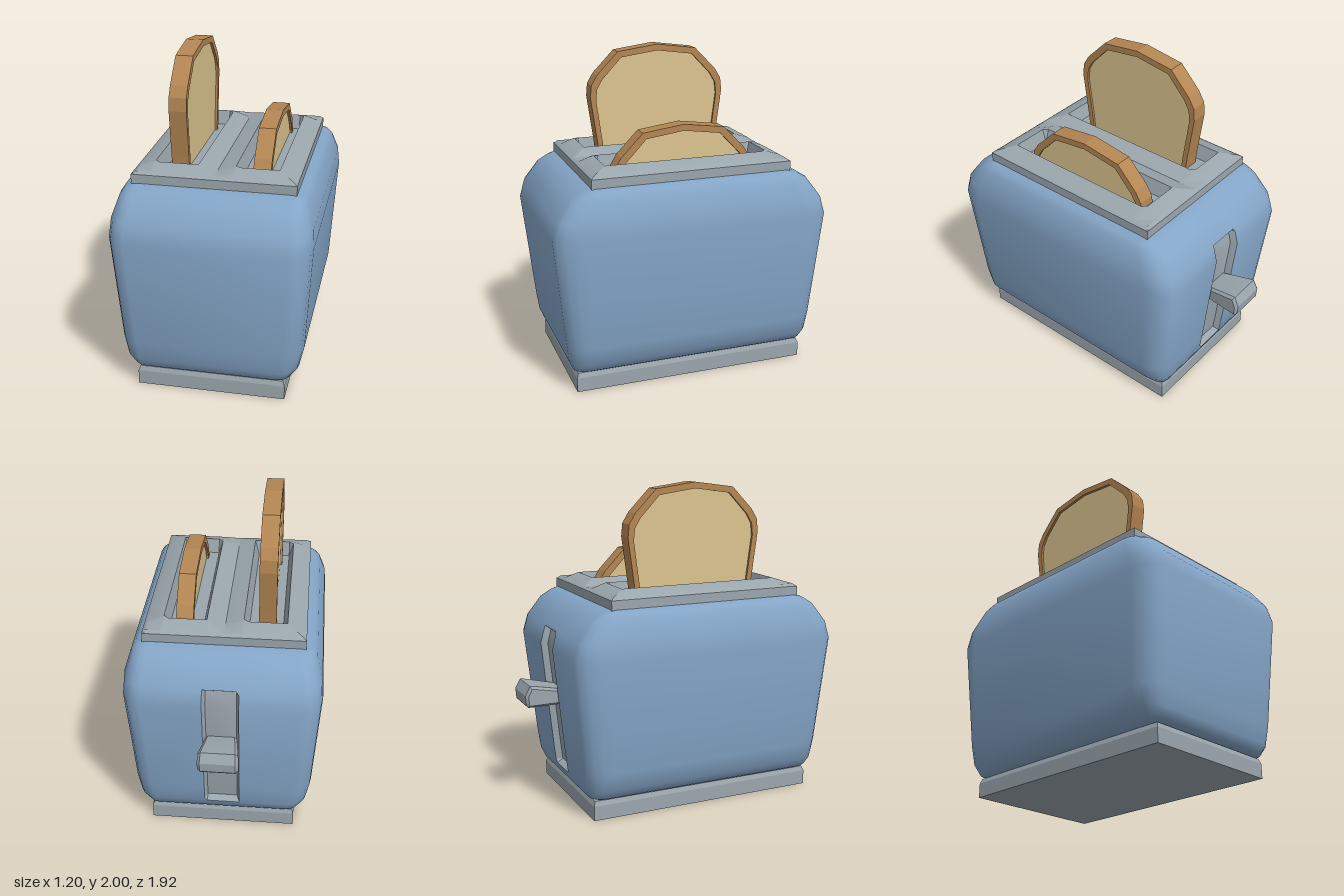
import * as THREE from 'three';
import { toCreasedNormals } from 'three/addons/utils/BufferGeometryUtils.js';

const CZ = 0.09; // z centre of the housing

function material(name, color) {
  const m = new THREE.MeshStandardMaterial({ color });
  m.name = name;
  return m;
}

// Surface through a grid of points; skip(i, j) leaves a quad open
function grid(nu, nv, point, crease, skip = () => false) {
  const pos = [], index = [];
  for (let i = 0; i < nu; i++) for (let j = 0; j < nv; j++) pos.push(...point(i, j));
  for (let i = 0; i < nu - 1; i++) for (let j = 0; j < nv - 1; j++) {
    if (skip(i, j)) continue;
    const a = i * nv + j, b = a + nv;
    index.push(a, b, b + 1, a, b + 1, a + 1);
  }
  const g = new THREE.BufferGeometry();
  g.setAttribute('position', new THREE.Float32BufferAttribute(pos, 3));
  g.setIndex(index);
  return toCreasedNormals(g, crease);
}

// Housing: rounded rectangles stacked by [y, half x, half z, corner x, corner z]
function bodyGeometry() {
  const levels = [
    [0.12, 0.3, 0.6, 0.02, 0.02], [0.12, 0.445, 0.715, 0.05, 0.05], [0.14, 0.48, 0.76, 0.07, 0.08],
    [0.2, 0.53, 0.785, 0.1, 0.12], [0.32, 0.557, 0.8, 0.11, 0.15], [1.0, 0.6, 0.87, 0.12, 0.17],
    [1.11, 0.592, 0.84, 0.12, 0.17], [1.23, 0.555, 0.75, 0.1, 0.14], [1.27, 0.53, 0.685, 0.08, 0.1],
    [1.29, 0.485, 0.63, 0.03, 0.03], [1.29, 0.3, 0.5, 0.02, 0.02],
  ];
  const loop = ([y, hx, hz, rx, rz]) => {
    const pts = [];
    [[1, 1], [1, -1], [-1, -1], [-1, 1]].forEach(([sx, sz], q) => {
      for (let k = 0; k <= 4; k++) {
        const a = (q + k / 4) * Math.PI / 2;
        pts.push([sx * (hx - rx) + rx * Math.sin(a), y, CZ + sz * (hz - rz) + rz * Math.cos(a)]);
      }
      if (q === 1) pts.push([0.11, y, CZ - hz], [-0.11, y, CZ - hz]);
    });
    pts.push(pts[0]);
    return pts;
  };
  const loops = levels.map(loop);
  // the back opening for the lever track stays open
  return grid(loops[0].length, levels.length, (i, j) => loops[j][i], 0.9,
    (i, j) => i === 10 && j >= 3 && j <= 5);
}

// Recessed lever track following the back of the housing
function trackGeometry() {
  const rows = [[0.2, 0.785], [0.225, 0.788], [0.32, 0.8], [1.0, 0.87], [1.085, 0.847], [1.11, 0.84]];
  const xs = [-0.11, -0.093, 0.093, 0.11];
  return grid(rows.length, xs.length, (i, j) => {
    const inner = i > 0 && i < rows.length - 1 && j > 0 && j < 3;
    return [xs[j], rows[i][0], CZ - rows[i][1] + (inner ? 0.04 : 0)];
  }, 0.4);
}

// Top plate with two raised slot rims and sunken slot floors
function plateGeometry() {
  const half = [0.487, 0.487, 0.465, 0.37, 0.342, 0.138, 0.11];
  const xs = [...half.map(x => -x), 0, ...[...half].reverse()];
  const zs = [0.63, 0.63, 0.61, 0.517, 0.49].map(z => -z);
  zs.push(...[...zs].reverse().map(z => -z));
  const nx = xs.length, nz = zs.length;
  return grid(nz, nx, (i, j) => {
    const e = Math.min(i, nz - 1 - i), f = Math.min(j, nx - 1 - j);
    let y = [1.285, 1.345, 1.36, 1.39][Math.min(e, f, 3)];
    if (e === 4 && (f === 4 || f === 5)) y = 1.3;
    if (f === 7) y = Math.min(y, 1.355);
    return [xs[j], y, CZ + zs[i]];
  }, 0.35);
}

// Base block with a chamfered upper edge
function baseGeometry() {
  const g = new THREE.BoxGeometry(0.91, 0.12, 1.49, 1, 4, 1);
  const p = g.attributes.position;
  for (let i = 0; i < p.count; i++) {
    if (p.getY(i) > 0.05) p.setXYZ(i, p.getX(i) * 0.975, p.getY(i), p.getZ(i) * 0.985);
  }
  g.translate(0, 0.06, CZ);
  return toCreasedNormals(g, 0.3);
}

// Half outline of a slice, mirrored
function sliceOutline(sx, sy) {
  const half = [[0.385, 1.2], [0.405, 1.39], [0.445, 1.68], [0.437, 1.76], [0.397, 1.825], [0.26, 1.965]];
  const pts = [...half, [0, 2], ...[...half].reverse().map(([x, y]) => [-x, y])];
  return pts.map(([x, y]) => new THREE.Vector2(x * sx, 1.3 + (y - 1.3) * sy));
}

function extrudeAcross(shape, depth, options = {}) {
  const g = new THREE.ExtrudeGeometry(shape, { depth, bevelEnabled: false, ...options });
  return g.translate(0, 0, -depth / 2).rotateY(Math.PI / 2);
}

// Lever knob, widening towards its free end
function leverGeometry() {
  const side = [[0.7, 0.645], [0.94, 0.652], [0.951, 0.665], [0.956, 0.727], [0.925, 0.785], [0.905, 0.784], [0.7, 0.738]];
  const g = extrudeAcross(new THREE.Shape(side.map(p => new THREE.Vector2(...p))), 0.17, {
    bevelEnabled: true, bevelThickness: 0.015, bevelSize: 0.015, bevelOffset: -0.015, bevelSegments: 1,
  });
  const p = g.attributes.position;
  for (let i = 0; i < p.count; i++) p.setX(i, p.getX(i) * (1 + (-p.getZ(i) - 0.75) * 1.2));
  return toCreasedNormals(g, 0.5);
}

export function createModel() {
  const blue = material('blue enamel', 0x84a5c7);
  const grey = material('grey metal', 0x9aa6ad);
  const crustMat = material('brown crust', 0xb48653);
  const crumbMat = material('pale crumb', 0xdcc48f);

  const model = new THREE.Group();
  model.name = 'toaster';
  const add = (name, geometry, mat, parent = model) => {
    const mesh = new THREE.Mesh(geometry, mat);
    mesh.name = name;
    parent.add(mesh);
    return mesh;
  };

  add('base', baseGeometry(), grey);
  add('body', bodyGeometry(), blue);
  add('topPlate', plateGeometry(), grey);
  add('leverTrack', trackGeometry(), grey);
  add('lever', leverGeometry(), grey);

  // Bread: one slice popped up, one lowered
  const crustShape = new THREE.Shape(sliceOutline(1, 1));
  crustShape.holes.push(new THREE.Path(sliceOutline(0.915, 0.943)));
  const crust = extrudeAcross(crustShape, 0.106);
  const crumb = extrudeAcross(new THREE.Shape(sliceOutline(0.915, 0.943)), 0.076);
  for (const [name, x, y] of [['raisedSlice', -0.247, 0], ['loweredSlice', 0.253, -0.415]]) {
    const slice = new THREE.Group();
    slice.name = name;
    slice.position.set(x, y, CZ);
    add('crust', crust, crustMat, slice);
    add('crumb', crumb, crumbMat, slice);
    model.add(slice);
  }
  return model;
}
